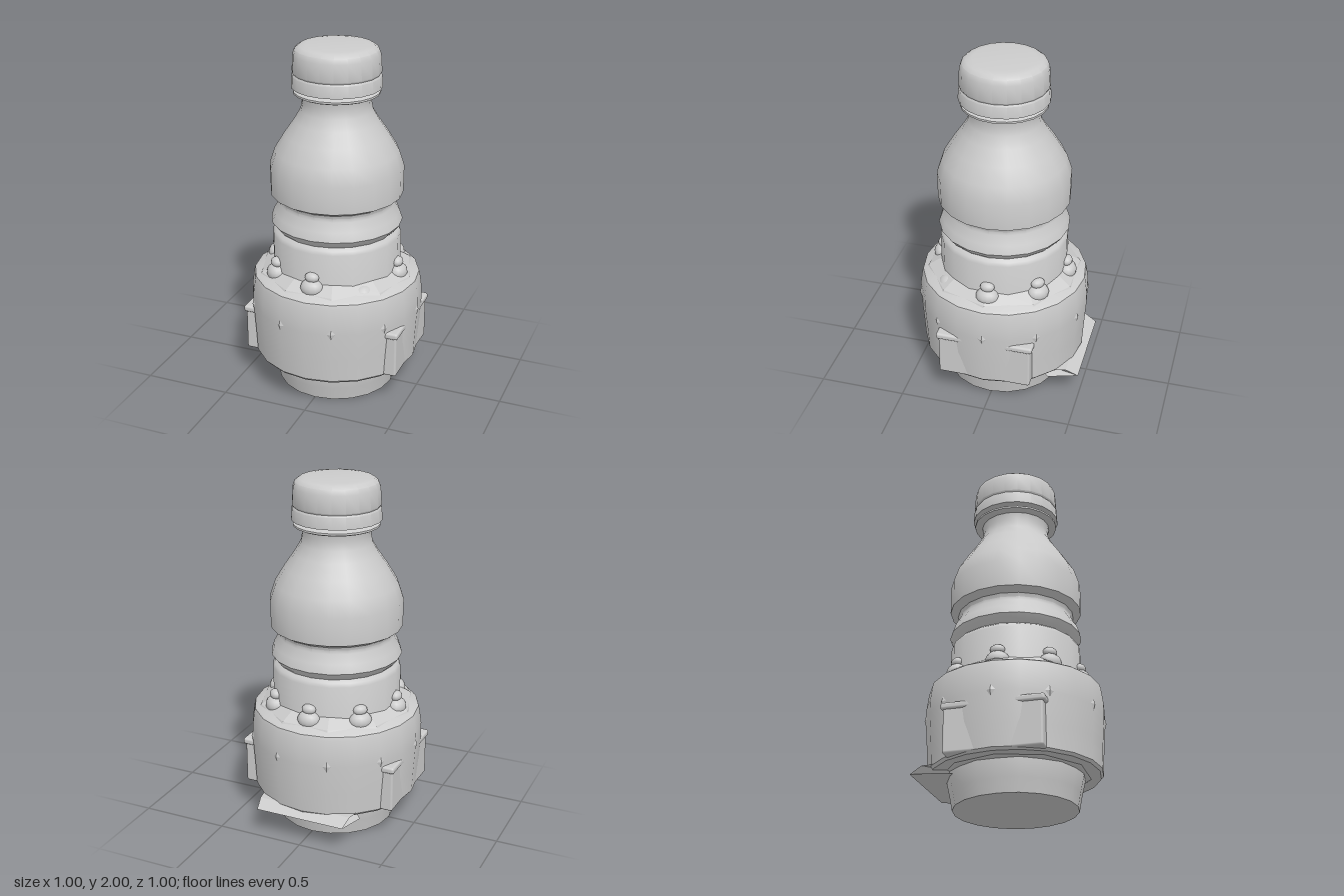
import * as THREE from 'three';
import { toCreasedNormals } from 'three/addons/utils/BufferGeometryUtils.js';
import { RoundedBoxGeometry } from 'three/addons/geometries/RoundedBoxGeometry.js';

const grey = new THREE.MeshStandardMaterial({ color: 0xcccccc, side: THREE.DoubleSide });

function part(name, geometry, parent) {
  const mesh = new THREE.Mesh(geometry, grey);
  mesh.name = name;
  parent.add(mesh);
  return mesh;
}

// Turned shape from [radius, height] pairs, listed bottom to top
function turned(profile, sides, start = 0, crease = 0.6) {
  const points = profile.map(([r, y]) => new THREE.Vector2(r, y));
  return toCreasedNormals(new THREE.LatheGeometry(points, sides, start), crease);
}

// Group placed at an angle around the bottle (0 = front, 90 = +x)
function around(degrees, parent, name) {
  const g = new THREE.Group();
  g.name = name;
  g.rotation.y = THREE.MathUtils.degToRad(degrees);
  parent.add(g);
  return g;
}

export function createModel() {
  const model = new THREE.Group();
  model.name = 'bottleBomb';
  const body = new THREE.Group();
  body.name = 'body';
  body.position.z = 0.01;
  model.add(body);

  // Bottle with two grooves, shoulder, neck and flange
  part('bottle', turned([
    [0, 0], [0.34, 0], [0.355, 0.08], [0.375, 0.17], [0.365, 0.3], [0.365, 0.92],
    [0.355, 0.94], [0.335, 0.955], [0.35, 0.97], [0.372, 1.0], [0.355, 1.05], [0.325, 1.1],
    [0.322, 1.12], [0.33, 1.14], [0.373, 1.165], [0.375, 1.32], [0.345, 1.41],
    [0.29, 1.5], [0.235, 1.58], [0.2, 1.64], [0.19, 1.69], [0.197, 1.73],
    [0.225, 1.73], [0.24, 1.737], [0.24, 1.748], [0.2, 1.76], [0.2, 1.79],
  ], 20), body);

  // Screw cap with a tamper band
  part('cap', turned([
    [0.19, 1.77], [0.25, 1.77], [0.246, 1.835], [0.239, 1.845], [0.245, 1.855],
    [0.239, 1.95], [0.228, 1.978], [0.205, 1.995], [0.17, 2.0], [0, 2.0],
  ], 20), body);

  // Wide collar around the lower half
  part('collar', turned([
    [0.36, 0.185], [0.462, 0.185], [0.475, 0.2], [0.482, 0.33], [0.493, 0.5],
    [0.492, 0.57], [0.48, 0.655], [0.474, 0.675], [0.46, 0.685], [0.355, 0.725],
  ], 20), body);

  // Ten-sided packing, showing above and below the collar
  part('upperPacking', turned([[0.465, 0.66], [0.44, 0.7], [0.34, 0.76]], 10, Math.PI / 2, 0.2), body);
  part('lowerPacking', turned([[0.34, 0.165], [0.4, 0.18], [0.43, 0.2]], 10, Math.PI / 2, 0.2), body);

  // Ring of knobbed nuggets; one is sunk deep in the packing
  const ball = new THREE.SphereGeometry(1, 14, 10);
  for (let i = 0; i < 8; i++) {
    const sunk = i === 1;
    const nugget = around(i * 45, body, 'nugget');
    const base = part('nuggetBase', ball, nugget);
    base.position.set(0, sunk ? 0.68 : 0.72, 0.37);
    base.scale.set(0.066, 0.052, 0.055);
    if (!sunk) {
      const knob = part('nuggetKnob', ball, nugget);
      knob.position.set(0, 0.782, 0.368);
      knob.scale.set(0.041, 0.029, 0.032);
    }
  }

  // Shallow diamond studs on the collar
  for (let i = 0; i < 10; i++) {
    const stud = part('stud', new THREE.OctahedronGeometry(1), around(18 + i * 36, body, 'studMount'));
    stud.position.set(0, 0.505, 0.482);
    stud.scale.set(0.04, 0.07, 0.018);
  }

  // Side brackets, buried in the collar, each with a lip on top
  for (const side of [1, -1]) {
    const bracket = new THREE.Group();
    bracket.name = side > 0 ? 'leftBracket' : 'rightBracket';
    body.add(bracket);
    const block = part('bracketBlock', new RoundedBoxGeometry(0.1, 0.25, 0.535, 2, 0.012), bracket);
    block.position.set(side * 0.41, 0.32, 0);
    const lip = part('bracketLip', new RoundedBoxGeometry(0.11, 0.038, 0.56, 2, 0.014), bracket);
    lip.position.set(side * 0.415, 0.452, 0);
  }

  // Tapered wedge flap under the back of the collar
  const section = new THREE.Shape([
    [0.2, 0.165], [0.34, 0.15], [0.51, 0.167], [0.44, 0.205], [0.3, 0.2],
  ].map(([z, y]) => new THREE.Vector2(z, y)));
  const flapGeometry = new THREE.ExtrudeGeometry(section, { depth: 2, bevelEnabled: false });
  flapGeometry.translate(0, 0, -1);
  flapGeometry.rotateY(Math.PI / 2);
  const p = flapGeometry.attributes.position;
  for (let i = 0; i < p.count; i++) {
    const reach = -p.getZ(i);
    const half = reach < 0.3 ? 0.19 + (reach - 0.2) * 1.15 : 0.305 - (reach - 0.3) * 0.2;
    p.setX(i, p.getX(i) * half);
  }
  flapGeometry.computeVertexNormals();
  part('backFlap', flapGeometry, body);

  return model;
}
